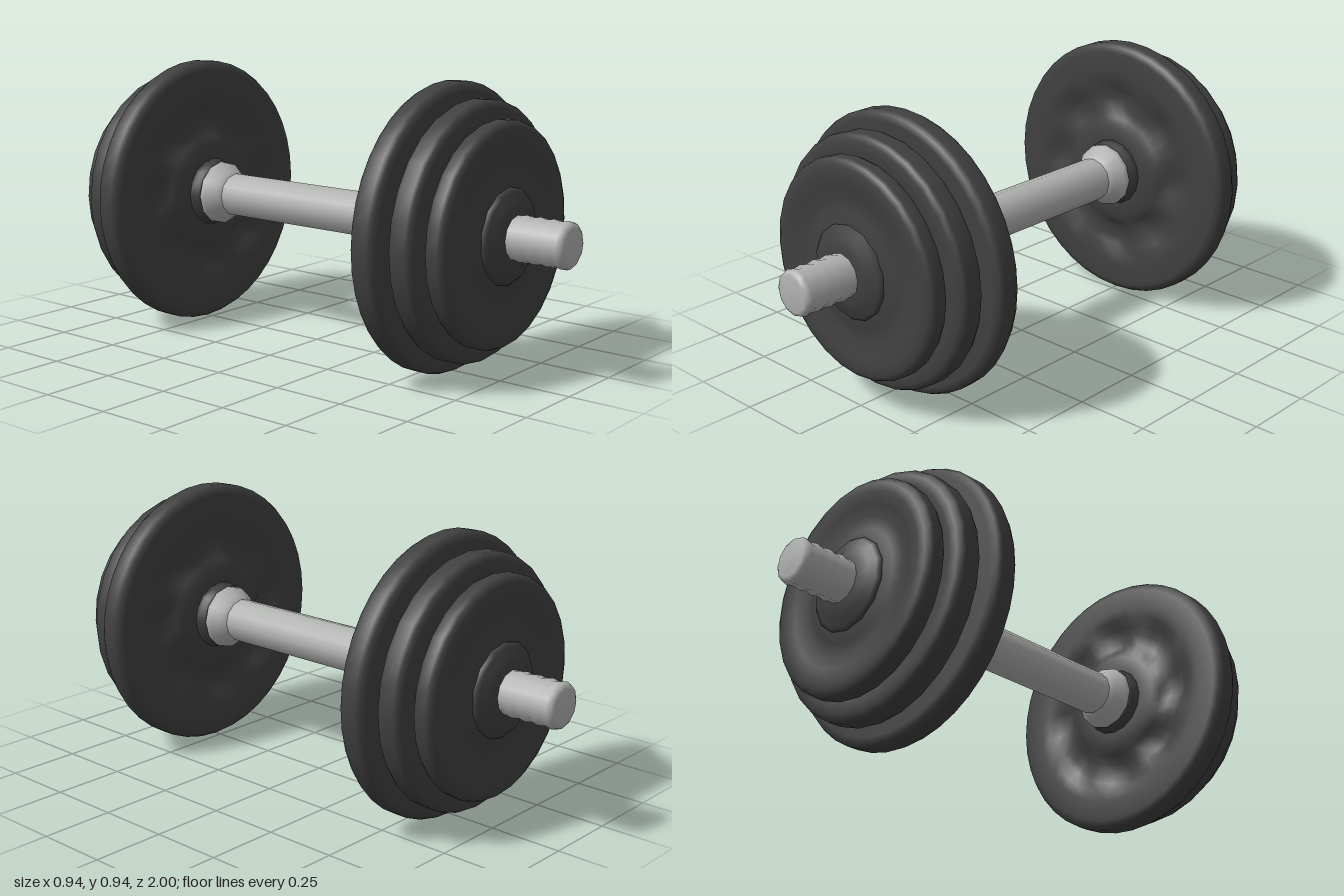
import * as THREE from 'three';

const iron = new THREE.MeshStandardMaterial({ color: 0x404040 });
iron.name = 'darkIron';
const steel = new THREE.MeshStandardMaterial({ color: 0xb0b2b0 });
steel.name = 'greySteel';

// Revolve [radius, distance along bar] points around the bar axis (+z)
function turned(name, profile, sides, material, shape) {
  const geo = new THREE.LatheGeometry(profile.map(([r, d]) => new THREE.Vector2(r, d)), sides);
  if (shape) {
    const p = geo.attributes.position;
    for (let i = 0; i < p.count; i++) {
      const r = Math.hypot(p.getX(i), p.getZ(i));
      p.setY(i, p.getY(i) + shape(r, Math.atan2(p.getZ(i), p.getX(i)), p.getY(i)));
    }
    const n = geo.attributes.normal;
    const seam = profile.length;
    geo.computeVertexNormals();
    // Weld the shading along the lathe seam
    for (let j = 0; j < seam; j++) {
      const k = sides * seam + j;
      const v = new THREE.Vector3(n.getX(j) + n.getX(k), n.getY(j) + n.getY(k), n.getZ(j) + n.getZ(k)).normalize();
      n.setXYZ(j, v.x, v.y, v.z);
      n.setXYZ(k, v.x, v.y, v.z);
    }
  }
  geo.rotateX(Math.PI / 2);
  const mesh = new THREE.Mesh(geo, material);
  mesh.name = name;
  return mesh;
}

// Disc with rounded rim and slightly dished outer face
function plate(name, radius, z0, z1) {
  const b = 0.022;
  return turned(name, [
    [0.05, z0], [radius - 0.05, z0], [radius - b, z0 + 0.002], [radius - 0.006, z0 + 0.01], [radius, z0 + b],
    [radius, z1 - b], [radius - 0.006, z1 - 0.01], [radius - b, z1 - 0.002], [radius - 0.05, z1],
    [radius - 0.09, z1 - 0.005], [radius - 0.13, z1 - 0.015], [0.19, z1 - 0.012], [0.15, z1], [0.05, z1],
  ], 28, iron);
}

// One loaded end of the bar, pointing along +z
function weightEnd(name) {
  const end = new THREE.Group();
  end.name = name;

  // Large plate: its inner face has a hub and a ring of shallow pockets
  end.add(turned('largePlate', [
    [0.05, 0.485], [0.13, 0.486], [0.175, 0.49], [0.2, 0.505], [0.23, 0.52], [0.27, 0.522], [0.3, 0.515],
    [0.335, 0.503], [0.37, 0.499], [0.44, 0.5], [0.46, 0.508], [0.47, 0.525],
    [0.47, 0.57], [0.462, 0.586], [0.44, 0.592], [0.05, 0.592],
  ], 40, iron, (r, a, d) => (r > 0.21 && r < 0.31 && d < 0.55 ? 0.01 * Math.cos(8 * a) : 0)));

  end.add(plate('mediumPlate', 0.42, 0.604, 0.695));
  end.add(plate('smallPlate', 0.363, 0.695, 0.77));

  // Collars clamping the plates on both sides
  end.add(turned('innerCollar', [
    [0.06, 0.448], [0.1, 0.449], [0.11, 0.456], [0.112, 0.475], [0.125, 0.492], [0.05, 0.495],
  ], 16, iron));
  end.add(turned('outerCollar', [
    [0.06, 0.755], [0.155, 0.757], [0.157, 0.772], [0.145, 0.783], [0.115, 0.79], [0.1, 0.8], [0.06, 0.802],
  ], 14, iron));

  // Flared stop on the handle
  end.add(turned('flaredStop', [
    [0.06, 0.372], [0.076, 0.378], [0.086, 0.395], [0.11, 0.428], [0.112, 0.446], [0.102, 0.452], [0.06, 0.453],
  ], 12, steel));

  // Bar tip with shallow thread ridges
  const tip = [[0.074, 0.77]];
  for (let i = 0; i < 9; i++) tip.push([i % 2 ? 0.071 : 0.076, 0.785 + i * 0.024]);
  tip.push([0.071, 0.99], [0.058, 0.998], [0, 1]);
  end.add(turned('barTip', tip, 12, steel));
  return end;
}

export function createModel() {
  const model = new THREE.Group();
  model.name = 'dumbbell';

  // Handle between the two stops
  const handle = turned('handle', [
    [0.07, -0.4], [0.07, -0.388], [0.076, -0.375], [0.076, 0.375], [0.07, 0.388], [0.07, 0.4],
  ], 12, steel);
  const front = weightEnd('frontWeights');
  const back = weightEnd('backWeights');
  back.rotation.y = Math.PI;
  model.add(handle, front, back);
  for (const part of model.children) part.position.y = 0.472;
  return model;
}
